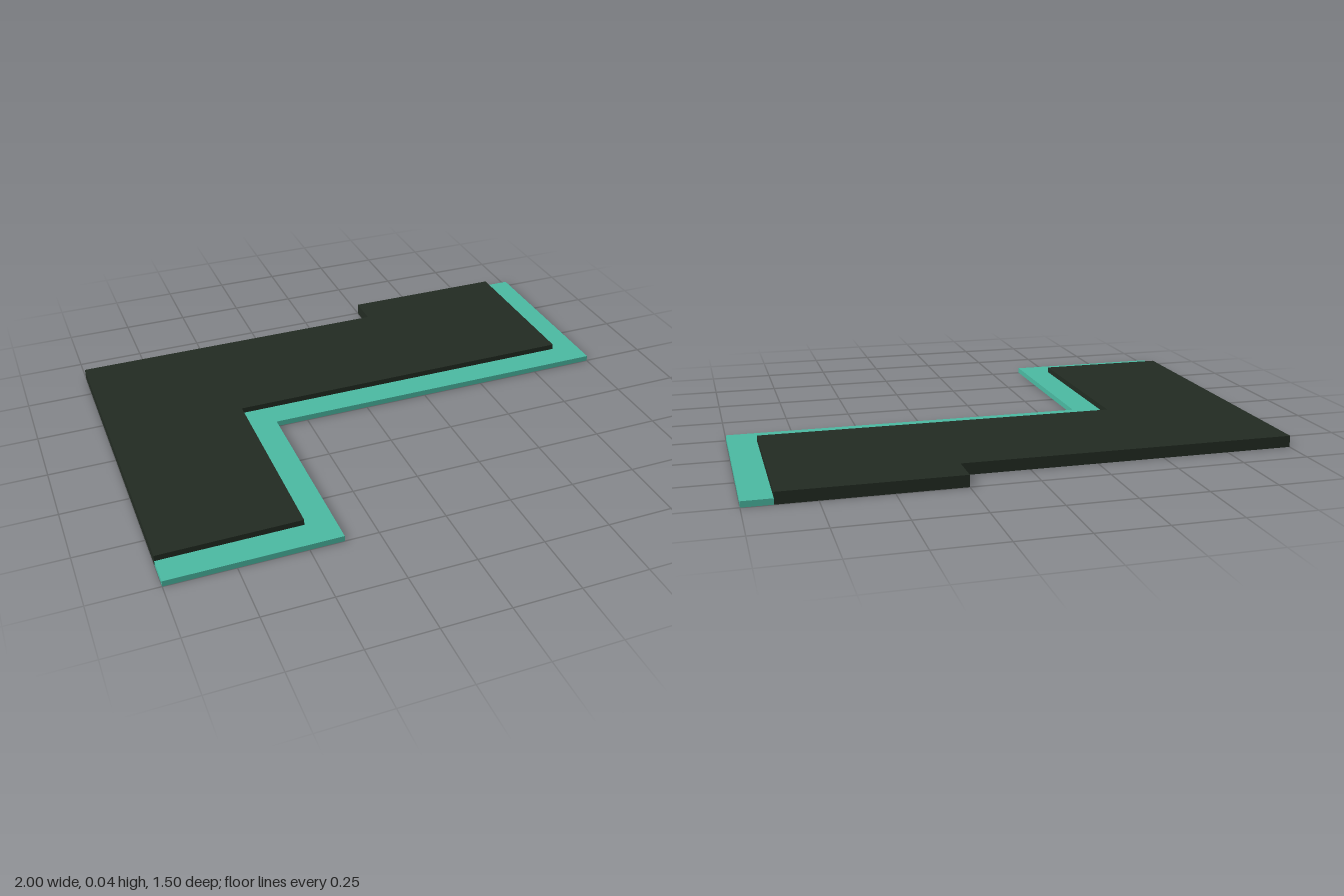
import * as THREE from 'three';

const teal = new THREE.MeshStandardMaterial({ color: 0x4bbaa3 });
teal.name = 'teal';
const darkGreen = new THREE.MeshStandardMaterial({ color: 0x222b22 });
darkGreen.name = 'darkGreen';

// Flat slab standing on y = 0 from an outline of [x, z] corners
function slab(name, outline, height, material) {
  const shape = new THREE.Shape(outline.map(([x, z]) => new THREE.Vector2(x, -z)));
  const geometry = new THREE.ExtrudeGeometry(shape, { depth: height, bevelEnabled: false });
  geometry.rotateX(-Math.PI / 2);
  const mesh = new THREE.Mesh(geometry, material);
  mesh.name = name;
  return mesh;
}

export function createModel() {
  const group = new THREE.Group();
  group.name = 'lShapedPlatform';

  const border = 0.107;
  const right = 1 - border;
  const inner = -0.375 - border;
  const front = 0.75 - border;

  // Thick L-shaped slab with a stepped back edge
  group.add(slab('mainSlab', [
    [-1, -0.625], [0.25, -0.625], [0.25, -0.75], [right, -0.75],
    [right, -border], [inner, -border], [inner, front], [-1, front],
  ], 0.043, darkGreen));

  // Thin border strip along the right, inner and front edges
  group.add(slab('borderStrip', [
    [right, -0.75], [1, -0.75], [1, 0], [-0.375, 0], [-0.375, 0.75], [-1, 0.75],
    [-1, front], [inner, front], [inner, -border], [right, -border],
  ], 0.0215, teal));

  return group;
}
